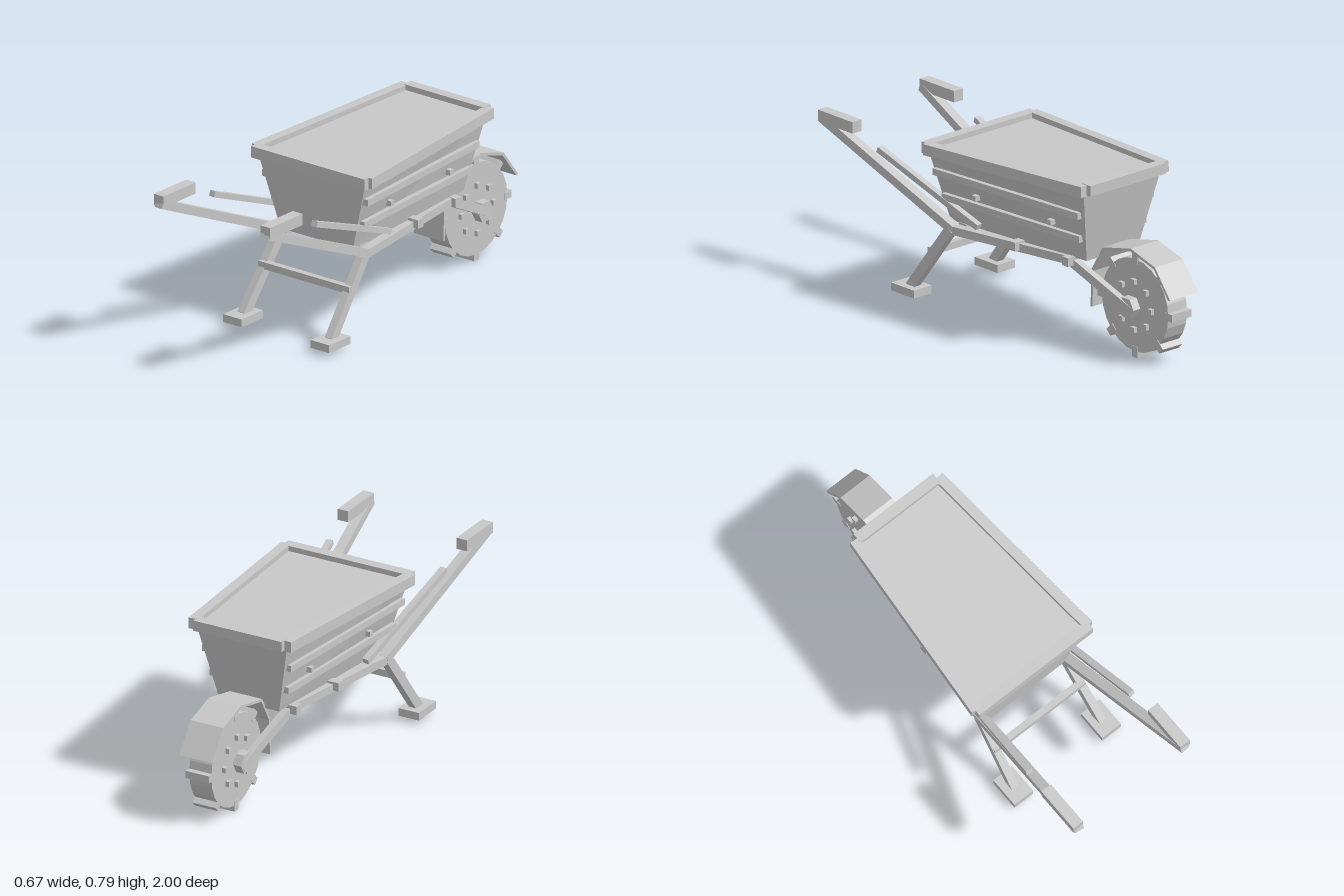
import * as THREE from 'three';

const grey = new THREE.MeshStandardMaterial({ color: 0xc8c8c8, flatShading: true });
grey.name = 'pale grey';

const V = (x, y, z) => new THREE.Vector3(x, y, z);

export function createModel() {
  const model = new THREE.Group();
  model.name = 'wheelbarrow';

  const add = (name, geometry, x = 0, y = 0, z = 0) => {
    const mesh = new THREE.Mesh(geometry, grey);
    mesh.name = name;
    mesh.position.set(x, y, z);
    model.add(mesh);
    return mesh;
  };
  const box = (name, w, h, d, x, y, z) => add(name, new THREE.BoxGeometry(w, h, d), x, y, z);
  // Square timber running from a to b
  const beam = (name, a, b, w, h) => {
    const m = a.clone().add(b).multiplyScalar(0.5);
    const mesh = box(name, w, h, a.distanceTo(b), m.x, m.y, m.z);
    mesh.lookAt(b);
    return mesh;
  };

  // Tray: a tapered solid, narrower at the base and towards the wheel
  const FB = V(0.2, 0.395, 0.275), FT = V(0.3, 0.74, 0.312);
  const BB = V(0.15, 0.41, -0.54), BT = V(0.228, 0.77, -0.605);
  const onSide = (u, v) => // u: front to back, v: base to top
    FB.clone().lerp(FT, v).lerp(BB.clone().lerp(BT, v), u);
  const trayGeo = new THREE.BoxGeometry(1, 1, 1);
  const p = trayGeo.attributes.position;
  for (let i = 0; i < p.count; i++) {
    const c = onSide(p.getZ(i) > 0 ? 0 : 1, p.getY(i) > 0 ? 1 : 0);
    p.setXYZ(i, Math.sign(p.getX(i)) * c.x, c.y, c.z);
  }
  trayGeo.computeVertexNormals();
  add('tray', trayGeo);

  // Front and back of the rim
  box('frontRim', 0.63, 0.052, 0.05, 0, 0.739, 0.312);
  box('backRim', 0.44, 0.048, 0.05, 0, 0.771, -0.615);

  for (const s of [1, -1]) {
    const P = (x, y, z) => V(s * x, y, z);

    beam('sideRim', P(0.31, 0.74, 0.31), P(0.232, 0.768, -0.617), 0.047, 0.05);

    // Battens and bolts on the tray sides
    for (const [y, zFront, zBack] of [[0.635, 0.29, -0.56], [0.518, 0.27, -0.54]]) {
      const a = onSide(0, (y - FB.y) / (FT.y - FB.y));
      const b = onSide(1, (y - BB.y) / (BT.y - BB.y));
      beam('batten', P(a.x + 0.006, y, zFront), P(b.x + 0.006, y, zBack), 0.036, 0.03);
    }
    for (const [z, x] of [[0.07, 0.234], [-0.375, 0.201]]) {
      box('trayBolt', 0.04, 0.024, 0.024, s * x, 0.56, z);
    }

    // Handle, grip and upper brace
    beam('handle', P(0.293, 0.703, 0.99), P(0.224, 0.372, 0.225), 0.045, 0.04);
    box('grip', 0.053, 0.052, 0.22, s * 0.296, 0.714, 0.88);
    beam('brace', P(0.284, 0.645, 0.64), P(0.228, 0.425, 0.065), 0.03, 0.026);

    // Chassis rail, its blocks and the wheel arm
    beam('rail', P(0.224, 0.37, 0.24), P(0.15, 0.394, -0.445), 0.045, 0.038);
    for (const [z, x, y] of [[-0.15, 0.2, 0.394], [-0.45, 0.165, 0.394]]) {
      box('railBlock', 0.06, 0.04, 0.038, s * x, y, z);
    }
    beam('wheelArm', P(0.152, 0.395, -0.43), P(0.094, 0.226, -0.775), 0.034, 0.04);

    // Leg and foot
    beam('leg', P(0.23, 0.375, 0.235), P(0.242, 0.05, 0.478), 0.037, 0.045);
    box('foot', 0.103, 0.036, 0.145, s * 0.243, 0.041, 0.48);
  }

  // Cross members
  box('legStretcher', 0.504, 0.032, 0.03, 0, 0.245, 0.352);
  [[0.2, 0.2], [-0.08, 0.18], [-0.38, 0.155]].forEach(([z, x]) =>
    box('floorCrossbeam', x * 2, 0.024, 0.05, 0, 0.387, z));

  // Wheel
  const wheel = new THREE.Group();
  wheel.name = 'wheel';
  wheel.position.set(0, 0.24, -0.745);
  model.add(wheel);
  const wheelPart = (name, geometry, x = 0, y = 0, z = 0) => {
    const mesh = add(name, geometry, x, y, z);
    wheel.add(mesh);
    return mesh;
  };
  const disc = (r, width, sides) => new THREE.CylinderGeometry(r, r, width, sides).rotateZ(Math.PI / 2);
  wheelPart('wheelDisc', disc(0.212, 0.11, 24));
  wheelPart('axle', disc(0.022, 0.21, 8));
  for (const s of [1, -1]) wheelPart('hubNut', disc(0.05, 0.04, 6), s * 0.09);
  for (let i = 0; i < 8; i++) {
    const a = i * Math.PI / 4, y = Math.cos(a), z = Math.sin(a);
    const lug = wheelPart('treadLug', new THREE.BoxGeometry(0.115, 0.05, 0.034), 0, y * 0.213, z * 0.213);
    lug.rotation.x = a;
    wheelPart('wheelBolts', new THREE.BoxGeometry(0.144, 0.024, 0.024), 0, y * 0.11, z * 0.11);
  }

  // Mudguard: a bent strip with an even thickness, given as [z, y] points
  const strip = [[-0.488, 0.172], [-0.495, 0.345], [-0.565, 0.463], [-0.745, 0.504], [-0.9, 0.459], [-0.998, 0.332]];
  const inner = strip.map(([z, y]) => {
    const d = Math.hypot(z + 0.745, y - 0.24), k = 1 - 0.013 / d;
    return [-0.745 + (z + 0.745) * k, 0.24 + (y - 0.24) * k];
  });
  const outline = [...strip, ...inner.reverse()].map(([z, y]) => new THREE.Vector2(-z, y));
  const guard = new THREE.ExtrudeGeometry(new THREE.Shape(outline), { depth: 0.162, bevelEnabled: false });
  add('mudguard', guard.translate(0, 0, -0.081).rotateY(Math.PI / 2));

  return model;
}
